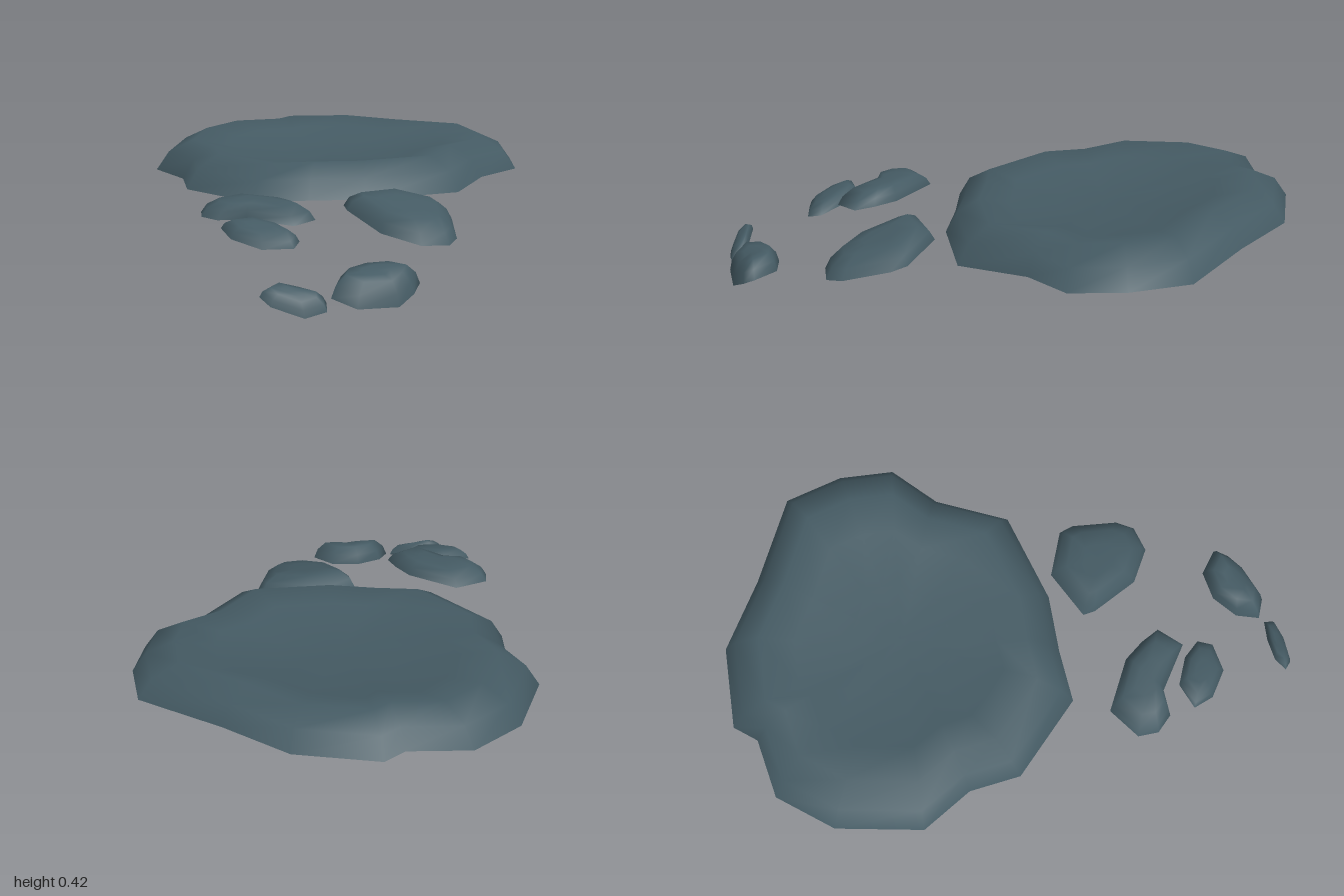
import * as THREE from 'three';

// Open-bottomed stone shell: a rim outline stepped inward ring by ring to a centre point.
// rim: [x, z, y?] going back -> right -> front -> left; rimY(x, z) gives the height when y is omitted.
// rings: [scale, lift] pairs from the rim inward; the last lift is the centre.
function stoneGeometry(rim, rimY, rings, height) {
  const n = rim.length;
  const edge = rim.map(([x, z, y]) => new THREE.Vector3(x, y ?? rimY(x, z), z));
  const centre = new THREE.Box3().setFromPoints(edge).getCenter(new THREE.Vector3());
  const positions = [];
  const index = [];
  for (const [scale, lift] of rings) {
    for (const p of edge) {
      const q = centre.clone().lerp(p, scale);
      positions.push(q.x, q.y + lift * height, q.z);
    }
  }
  positions.push(centre.x, centre.y + rings.at(-1)[1] * height, centre.z);
  const last = rings.length - 1;
  for (let r = 0; r <= last; r++) {
    for (let i = 0; i < n; i++) {
      const j = (i + 1) % n;
      const a = r * n + i, b = r * n + j;
      if (r === last) index.push(a, n * rings.length, b);
      else index.push(a, a + n, b, b, a + n, b + n);
    }
  }
  const geometry = new THREE.BufferGeometry();
  geometry.setAttribute('position', new THREE.Float32BufferAttribute(positions, 3));
  geometry.setIndex(index);
  geometry.computeVertexNormals();
  return geometry;
}

// Broad slab with a raised crest and a shallow dish; small stones with a rounded top
const DISHED = [[1, 0], [0.93, 0.6], [0.79, 1], [0.6, 0.8], [0.3, 0.62]];
const ROUNDED = [[1, 0], [0.9, 0.5], [0.68, 0.92], [0.35, 1]];

const STONES = [
  {
    name: 'mainSlab', rings: DISHED, height: 0.112,
    rimY: (x, z) => 0.24 - 0.075 * z,
    rim: [[-0.06, -1], [0.2, -0.915], [0.52, -0.84], [0.625, -0.66], [0.665, -0.475], [0.56, -0.31],
      [0.51, -0.05], [0.22, 0.11], [0.02, 0.155], [-0.16, 0.21], [-0.445, 0.04], [-0.51, -0.13],
      [-0.655, -0.275], [-0.67, -0.575], [-0.575, -0.78], [-0.38, -0.86], [-0.34, -0.945]],
  },
  {
    name: 'leftUpperStone', rings: ROUNDED, height: 0.068,
    rimY: (x, z) => 0.303 - 0.143 * x - 0.214 * z,
    rim: [[0.305, 0.115], [0.485, 0.14], [0.52, 0.185], [0.56, 0.345], [0.545, 0.41], [0.46, 0.455],
      [0.32, 0.415], [0.18, 0.275], [0.16, 0.235]],
  },
  {
    name: 'rightUpperStone', rings: ROUNDED, height: 0.055,
    rimY: (x, z) => 0.26 - 0.08 * z,
    rim: [[-0.195, 0.34], [0, 0.39], [0.07, 0.445], [0.12, 0.5], [0.07, 0.59], [-0.105, 0.525],
      [-0.195, 0.55], [-0.26, 0.51], [-0.28, 0.44]],
  },
  {
    name: 'rightLowerStone', rings: ROUNDED, height: 0.04,
    rimY: (x, z) => 0.356 - 0.111 * x - 0.265 * z,
    rim: [[-0.08, 0.58], [0.03, 0.6], [0.1, 0.645], [0.095, 0.7], [0, 0.74], [-0.11, 0.7], [-0.16, 0.635]],
  },
  {
    name: 'leftLowerStone', rings: ROUNDED, height: 0.075,
    rim: [[0.405, 0.67, 0.075], [0.495, 0.71, 0.07], [0.485, 0.76, 0.045], [0.45, 0.82, 0.015],
      [0.335, 0.895, 0.018], [0.25, 0.88, 0.045], [0.25, 0.795, 0.06], [0.31, 0.71, 0.07]],
  },
  {
    name: 'frontStone', rings: ROUNDED, height: 0.04,
    rim: [[0.16, 0.91, 0.055], [0.24, 0.9, 0.035], [0.25, 0.935, 0.015], [0.19, 0.975, 0],
      [0.09, 0.995, 0.035], [0.05, 0.975, 0.06], [0.08, 0.935, 0.075]],
  },
];

export function createModel() {
  const model = new THREE.Group();
  model.name = 'steppingStones';
  const stone = new THREE.MeshStandardMaterial({ color: 0x455b64, side: THREE.DoubleSide });
  stone.name = 'slateStone';
  for (const { name, rim, rimY, rings, height } of STONES) {
    const mesh = new THREE.Mesh(stoneGeometry(rim, rimY, rings, height), stone);
    mesh.name = name;
    model.add(mesh);
  }
  return model;
}
